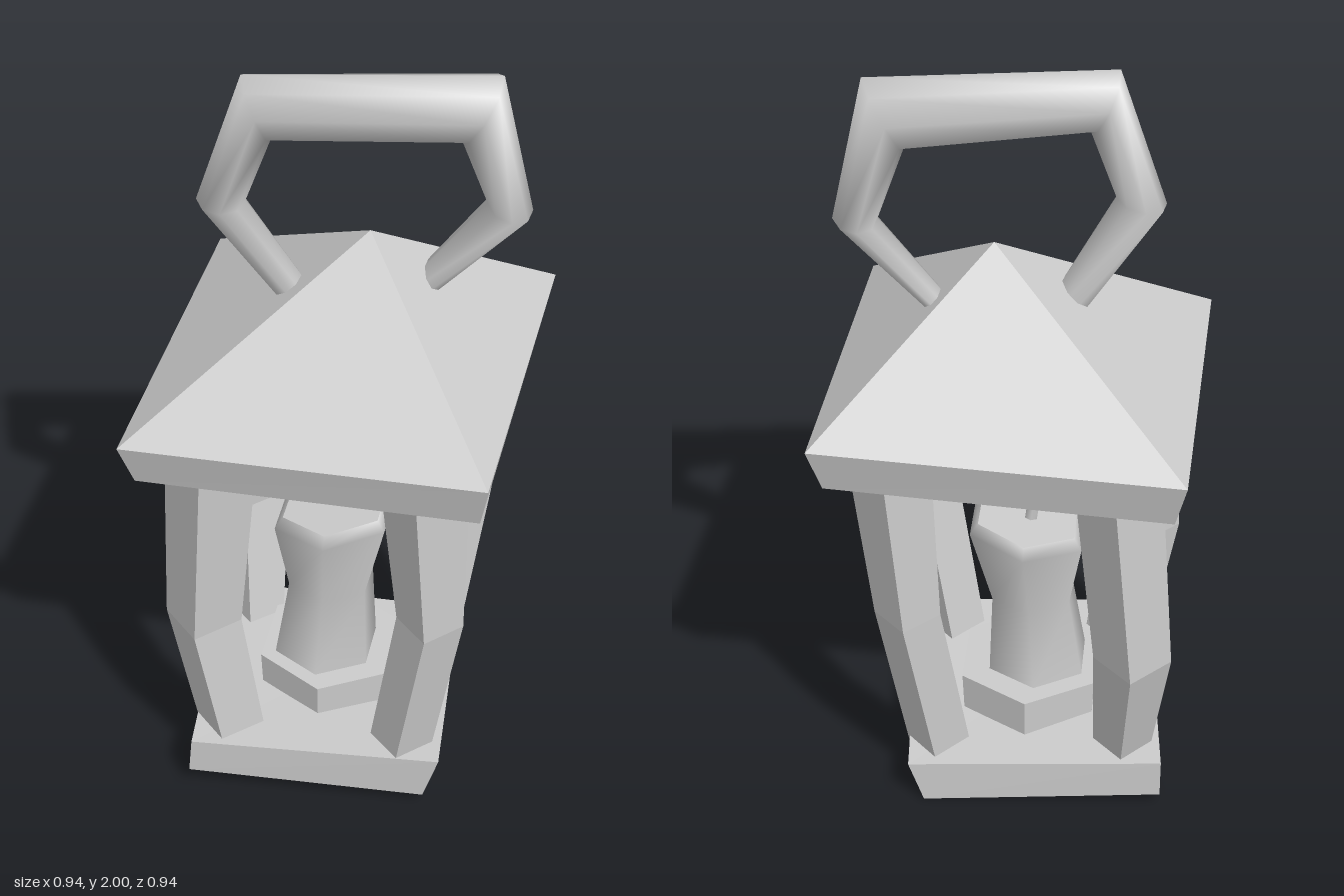
import * as THREE from 'three';

const V = (x, y, z) => new THREE.Vector3(x, y, z);
const toPoints = (list) => list.map((p) => V(...p));

// Skin a stack of rings (each counterclockwise seen against the path) and close both ends.
// With a tip, the last ring rises to that point instead of a flat cap.
function loft(name, rings, { smooth = false, tip = null } = {}) {
  const n = rings[0].length, last = rings.length - 1;
  const pos = [], idx = [];
  const add = (p) => pos.push(p.x, p.y, p.z) / 3 - 1;
  rings.forEach((ring) => ring.forEach(add));
  for (let r = 0; r < last; r++) {
    for (let i = 0; i < n; i++) {
      const a = r * n + i, b = r * n + (i + 1) % n;
      idx.push(a, b, b + n, a, b + n, a + n);
    }
  }
  const cap = (ring, flip, peak) => {
    const mid = peak || ring.reduce((s, p) => s.add(p), V(0, 0, 0)).divideScalar(n);
    const c = add(mid), k = ring.map(add);
    for (let i = 0; i < n; i++) {
      const a = k[i], b = k[(i + 1) % n];
      idx.push(...(flip ? [c, b, a] : [c, a, b]));
    }
  };
  cap(rings[0], true, null);
  cap(rings[last], false, tip);

  let geo = new THREE.BufferGeometry();
  geo.setAttribute('position', new THREE.Float32BufferAttribute(pos, 3));
  geo.setIndex(idx);
  if (!smooth) geo = geo.toNonIndexed();
  geo.computeVertexNormals();
  const mesh = new THREE.Mesh(geo, new THREE.MeshStandardMaterial({ color: 0xcccccc, flatShading: !smooth }));
  mesh.name = name;
  return mesh;
}

// Horizontal regular ring; slope tilts it along x
function ring(x, y, z, radius, sides, slope = 0) {
  return Array.from({ length: sides }, (_, i) => {
    const t = (i / sides) * Math.PI * 2;
    const dx = radius * Math.sin(t);
    return V(x + dx, y + slope * dx, z + radius * Math.cos(t));
  });
}

export function createModel() {
  const model = new THREE.Group();
  model.name = 'lantern';

  // Crooked base slab
  model.add(loft('base', [
    toPoints([[-0.345, 0.055, 0.40], [0.28, 0.03, 0.345], [0.23, 0, -0.31], [-0.40, 0.03, -0.27]]),
    toPoints([[-0.335, 0.16, 0.40], [0.32, 0.16, 0.345], [0.27, 0.12, -0.31], [-0.40, 0.14, -0.27]]),
  ]));

  // Pyramid roof with a tapered eave
  model.add(loft('roof', [
    toPoints([[-0.44, 1.04, 0.41], [0.415, 1.07, 0.44], [0.44, 1.085, -0.41], [-0.41, 1.055, -0.44]]),
    toPoints([[-0.472, 1.153, 0.437], [0.435, 1.19, 0.47], [0.472, 1.206, -0.44], [-0.437, 1.18, -0.472]]),
  ], { tip: V(0.06, 1.56, -0.015) }));

  // Bent diamond-section posts: bottom, middle and top as [x, y, z, radius]
  const posts = {
    frontLeftPost: [[0.2, 0.11, 0.265, 0.083], [0.28, 0.61, 0.3, 0.086], [0.255, 1.09, 0.3, 0.113]],
    frontRightPost: [[-0.25, 0.11, 0.28, 0.09], [-0.315, 0.52, 0.29, 0.1], [-0.278, 1.08, 0.29, 0.118]],
    backLeftPost: [[0.197, 0.09, -0.19, 0.083], [0.265, 0.6, -0.265, 0.085], [0.3, 1.1, -0.27, 0.105]],
    backRightPost: [[-0.29, 0.09, -0.17, 0.075], [-0.315, 0.5, -0.28, 0.1], [-0.265, 1.08, -0.285, 0.11]],
  };
  for (const [name, levels] of Object.entries(posts)) {
    model.add(loft(name, levels.map(([x, y, z, r]) => ring(x, y, z, r, 4))));
  }

  // Candle on its six-sided holder
  model.add(loft('candleHolder', [
    ring(-0.03, 0.12, 0.02, 0.2, 6),
    ring(-0.03, 0.245, 0.02, 0.205, 6),
  ]));
  model.add(loft('candle', [
    ring(-0.048, 0.235, 0.027, 0.145, 6),
    ring(-0.033, 0.48, 0.023, 0.118, 6),
    ring(-0.022, 0.695, 0.015, 0.168, 6, 0.12),
    ring(-0.022, 0.725, 0.015, 0.145, 6, 0.12),
  ], { smooth: true }));
  model.add(loft('wick', [
    ring(-0.025, 0.69, 0.01, 0.018, 6),
    ring(-0.035, 0.76, 0.01, 0.018, 6),
    ring(-0.045, 0.81, 0.01, 0.014, 6, -0.6),
  ], { smooth: true }));

  // Carrying handle: mitred rings given by outer and inner edge [x, y, x, y], depth z and half width
  const across = V(0.2, 0, 1).normalize();
  const joints = [
    [-0.125, 1.31, -0.06, 1.36, 0.015, 0.045],
    [-0.352, 1.645, -0.23, 1.655, 0.06, 0.07],
    [-0.233, 1.995, -0.165, 1.83, 0.06, 0.066],
    [0.365, 2.0, 0.27, 1.82, -0.045, 0.08],
    [0.445, 1.635, 0.335, 1.64, -0.065, 0.078],
    [0.2, 1.37, 0.165, 1.415, -0.055, 0.05],
  ];
  model.add(loft('handle', joints.map(([ox, oy, ix, iy, z, w]) => {
    const centre = V((ox + ix) / 2, (oy + iy) / 2, z);
    const inward = V((ix - ox) / 2, (iy - oy) / 2, 0);
    return Array.from({ length: 8 }, (_, i) => {
      const t = (i / 8) * Math.PI * 2;
      return centre.clone()
        .addScaledVector(inward, Math.sin(t))
        .addScaledVector(across, w * Math.cos(t));
    });
  }), { smooth: true }));

  return model;
}
